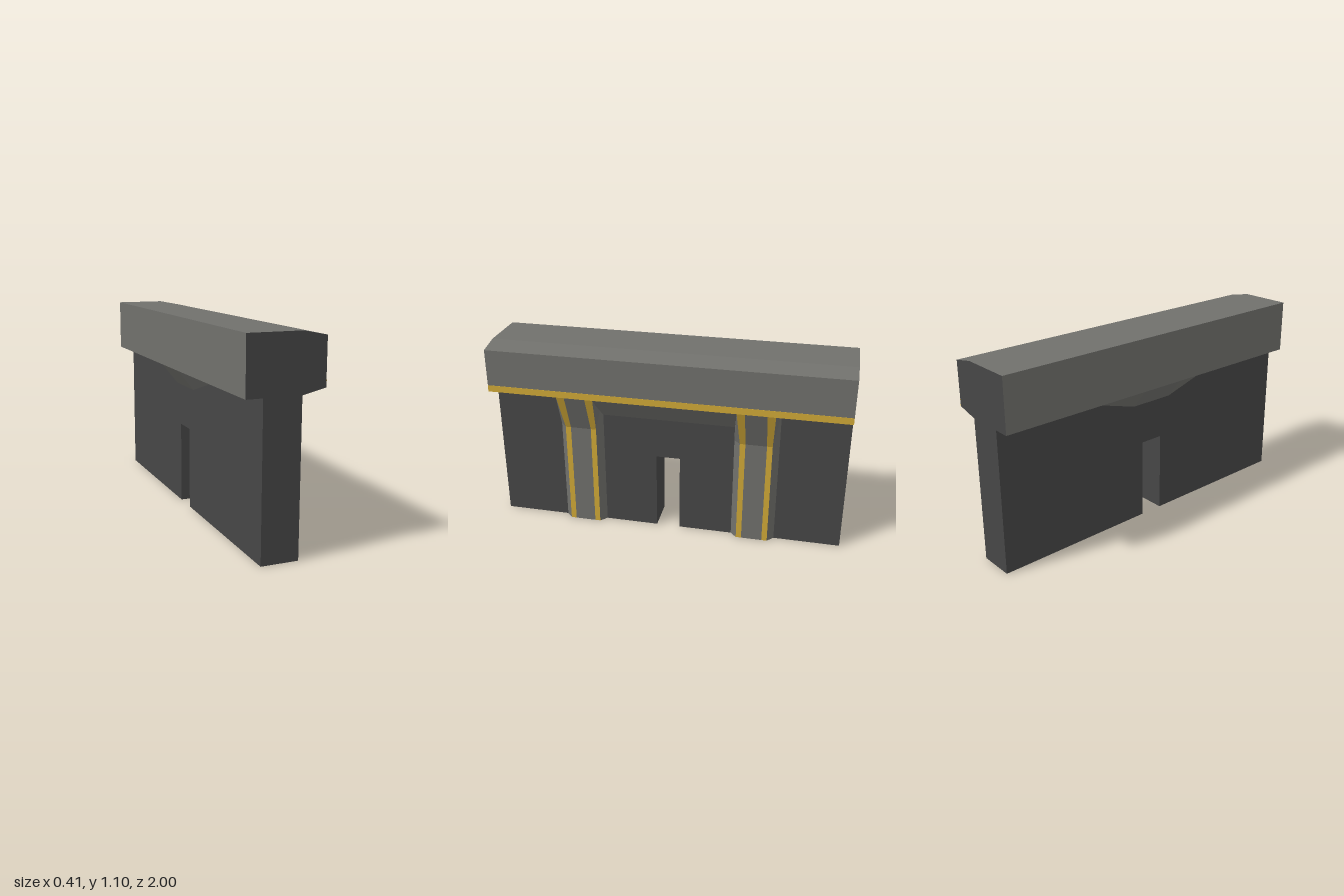
import * as THREE from 'three';

const dark = new THREE.MeshStandardMaterial({ name: 'darkConcrete', color: 0x464646 });
const light = new THREE.MeshStandardMaterial({ name: 'lightConcrete', color: 0x70706c });
const yellow = new THREE.MeshStandardMaterial({ name: 'yellowPaint', color: 0xcfa837 });

// Flat polygons, each a counter-clockwise loop of corners, fanned into triangles
function faces(name, material, polygons) {
  const pos = [];
  for (const p of polygons) {
    for (let i = 1; i < p.length - 1; i++) pos.push(...p[0], ...p[i], ...p[i + 1]);
  }
  const geo = new THREE.BufferGeometry();
  geo.setAttribute('position', new THREE.Float32BufferAttribute(pos, 3));
  geo.computeVertexNormals();
  const mesh = new THREE.Mesh(geo, material);
  mesh.name = name;
  return mesh;
}

// Quads between two upward polylines, left one first as seen from outside
function strip(left, right) {
  return left.slice(1).map((_, i) => [left[i], right[i], right[i + 1], left[i + 1]]);
}

function extrude(name, points, depth, materials) {
  const shape = new THREE.Shape(points.map(([x, y]) => new THREE.Vector2(x, y)));
  const geo = new THREE.ExtrudeGeometry(shape, { depth, bevelEnabled: false });
  geo.translate(0, 0, -depth / 2);
  const mesh = new THREE.Mesh(geo, materials);
  mesh.name = name;
  return mesh;
}

// Flared pilaster with painted edges
function createPilaster() {
  const group = new THREE.Group();
  group.name = 'pilaster';
  const root = s => [[0.08, 0, 0.125 * s], [0.08, 0.61, 0.125 * s], [0.08, 0.8, 0.125 * s]];
  const rail = (low, high) => [[0.118, 0, low], [0.118, 0.61, low], [0.203, 0.828, high]];
  const edge = s => rail(0.09 * s, 0.104 * s);
  const inner = s => rail(0.059 * s, 0.059 * s);
  group.add(faces('pilasterBody', light, [
    ...strip(root(1), edge(1)),
    ...strip(inner(1), inner(-1)),
    ...strip(edge(-1), root(-1)),
    [root(1)[0], root(-1)[0], edge(-1)[0], edge(1)[0]],
  ]));
  group.add(faces('pilasterStripes', yellow, [
    ...strip(edge(1), inner(1)),
    ...strip(inner(-1), edge(-1)),
  ]));
  return group;
}

export function createModel() {
  const model = new THREE.Group();
  model.name = 'wallSegment';

  // Wall with a doorway cut through it
  const wall = extrude('wall', [
    [-1, 0], [-0.068, 0], [-0.068, 0.457], [0.068, 0.457], [0.068, 0], [1, 0], [1, 0.8], [-1, 0.8],
  ], 0.198, dark);
  wall.rotation.y = Math.PI / 2;
  wall.position.x = -0.019;
  model.add(wall);

  // Parapet with dark ends and light long faces
  model.add(extrude('parapet', [
    [-0.205, 0.8], [0.08, 0.8], [0.203, 0.828], [0.203, 1.072], [0.08, 1.096], [-0.205, 1.096],
  ], 2, [dark, light]));

  // Painted line along the parapet's lower edge
  const line = new THREE.Mesh(new THREE.BoxGeometry(0.003, 0.037, 2), yellow);
  line.name = 'parapetStripe';
  line.position.set(0.203, 0.8465, 0);
  model.add(line);

  for (const z of [0.5, -0.5]) {
    const pilaster = createPilaster();
    pilaster.position.z = z;
    model.add(pilaster);
  }

  // Sloped gusset between the pilasters
  model.add(faces('frontGusset', light, [
    [[0.08, 0.69, 0.376], [0.08, 0.69, -0.376], [0.203, 0.828, -0.4], [0.203, 0.828, 0.4]],
  ]));

  // Tapered gusset under the rear overhang
  const foot = s => [-0.118, 0.69, 0.13 * s];
  const lip = s => [-0.205, 0.8, 0.13 * s];
  const tail = s => [-0.118, 0.8, 0.5 * s];
  model.add(faces('rearGusset', light, [
    [foot(-1), foot(1), lip(1), lip(-1)],
    [foot(1), tail(1), lip(1)],
    [tail(-1), foot(-1), lip(-1)],
  ]));

  return model;
}
